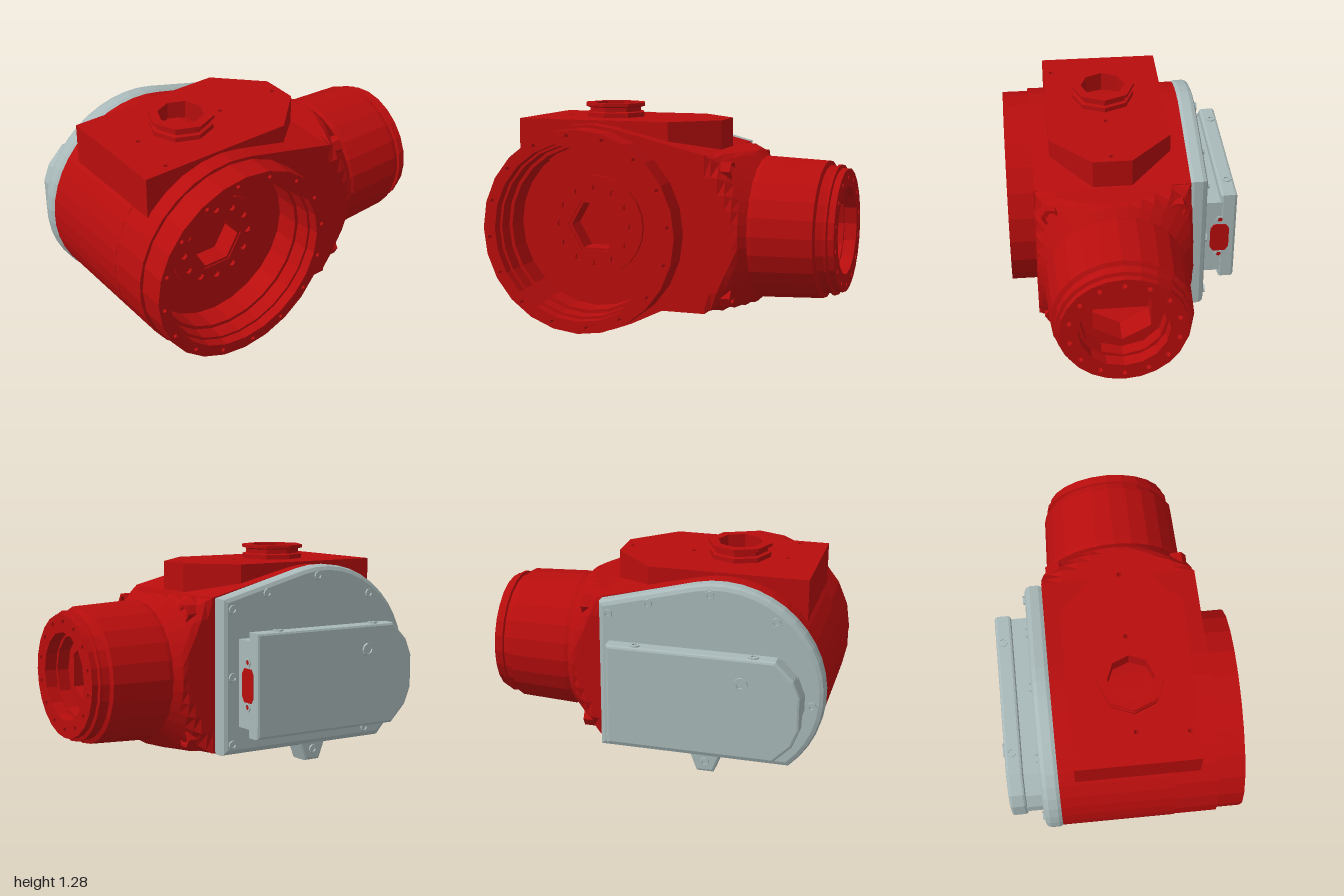
import * as THREE from 'three';

const CX = -0.4, CY = 0.6, CZ = 0.07; // drum axis (x, y) and neck axis (y, z)
const mat = (color) => new THREE.MeshStandardMaterial({ color, flatShading: true, side: THREE.DoubleSide });

// Points of a regular polygon or arc
function arc(x, y, r, n, a0 = 0, a1 = Math.PI * 2) {
  const closed = a1 - a0 > 6.28, pts = [];
  for (let i = 0; i < (closed ? n : n + 1); i++) {
    const a = a0 + (a1 - a0) * i / n;
    pts.push(new THREE.Vector2(x + r * Math.cos(a), y + r * Math.sin(a)));
  }
  return pts;
}
const pts = (...list) => list.map(([x, y]) => new THREE.Vector2(x, y));

// Extrusion along z from z0 to z1, with holes and an optional bevel inside the outline
function slab(outline, z0, z1, holes = [], bevel = 0) {
  const shape = new THREE.Shape(outline);
  holes.forEach((h) => shape.holes.push(new THREE.Path(h)));
  const g = new THREE.ExtrudeGeometry(shape, {
    depth: z1 - z0 - 2 * bevel, bevelEnabled: bevel > 0, bevelSize: bevel,
    bevelThickness: bevel, bevelOffset: -bevel, bevelSegments: 2, steps: 1,
  });
  return g.translate(0, 0, z0 + bevel);
}
const toX = (g) => g.rotateY(Math.PI / 2).translate(0, CY, CZ); // extrusion along the neck axis
const toY = (g) => g.rotateX(-Math.PI / 2);                     // extrusion upwards

// Points spaced round a circle, as small holes
function holeRing(x, y, r, n, size, offset = 0) {
  return arc(x, y, r, n, offset, offset + Math.PI * 2).map((p) => arc(p.x, p.y, size, 8));
}

// Housing outline: round on the left, square on the right
function outline(r, right, fullRound) {
  const d = Math.PI / 180, end = fullRound ? 296.7 : 180 + Math.asin(0.44 / r) / d;
  const foot = fullRound ? [[0.05, 0.16], [right, 0.16]] : [[right, 0.16]];
  return [...arc(CX, CY, r, 18, 75.8 * d, end * d), ...pts(...foot, [right, 1.04])];
}

// Shoulder: square section cut by a cone around the neck axis
function shoulder() {
  const xs = [0.29, 0.33, 0.37, 0.41, 0.45, 0.485, 0.53], n = 40, pos = [], idx = [];
  xs.forEach((x, j) => {
    for (let i = 0; i < n; i++) {
      const a = i / n * Math.PI * 2, c = Math.cos(a), s = Math.sin(a);
      const r = Math.min(0.44 / Math.max(Math.abs(c), Math.abs(s)), 0.925 - x);
      pos.push(x, CY + r * s, CZ + r * c);
      if (j === xs.length - 1) continue;
      const k = (i + 1) % n, a0 = j * n + i, b0 = a0 + n, c0 = (j + 1) * n + k, d0 = j * n + k;
      idx.push(a0, b0, c0, a0, c0, d0);
    }
  });
  const g = new THREE.BufferGeometry();
  g.setAttribute('position', new THREE.Float32BufferAttribute(pos, 3));
  g.setIndex(idx);
  g.computeVertexNormals();
  return g;
}

export function createModel() {
  const model = new THREE.Group();
  const red = mat(0xb80d0d), grey = mat(0xa9b9b9);
  const add = (name, geometry, material = red) => {
    const m = new THREE.Mesh(geometry, material);
    m.name = name;
    model.add(m);
    return m;
  };

  // Housing, flat underneath at the back and round at the front
  const hex = arc(CX, CY, 0.17, 6);
  add('housing', slab(outline(0.592, 0.3, false), -0.37, 0.27));
  add('drumFloor', slab(outline(0.592, 0.3, true), 0.27, 0.37, [hex]));
  add('drumWall', slab(outline(0.592, 0.3, true), 0.37, 0.51, [arc(CX, CY, 0.47, 24)]));
  add('shoulder', shoulder());

  // Front ring with its bolt holes, stepped inside
  add('ringBase', slab(arc(CX, CY, 0.575, 24), 0.51, 0.6, [arc(CX, CY, 0.49, 24)]));
  add('frontRing', slab(arc(CX, CY, 0.575, 24), 0.6, 0.66,
    [arc(CX, CY, 0.505, 24), ...holeRing(CX, CY, 0.54, 16, 0.012, 0.1)]));

  // Hub at the bottom of the recess
  add('hub', slab(arc(CX, CY, 0.29, 24), 0.37, 0.39,
    [hex, ...holeRing(CX, CY, 0.22, 12, 0.02, Math.PI / 6)]));
  add('hubRim', slab(arc(CX, CY, 0.169, 6), 0.27, 0.385, [arc(CX, CY, 0.15, 6)]));

  // Top pad with chamfered corners
  const pad = pts([-0.86, -0.41], [0.05, -0.41], [0.29, -0.18], [0.29, 0.04], [0.05, 0.28], [-0.86, 0.28]);
  const padHoles = [[-0.68, -0.07], [-0.13, -0.07], [0.24, -0.07], [-0.7, -0.36]]
    .map(([x, y]) => arc(x, y, 0.014, 8));
  add('topPad', toY(slab(pad, 0.97, 1.208, [arc(CX, -CZ, 0.13, 8), ...padHoles])));

  // Eight-sided socket on the pad
  const socket = pts([0.13, 1.195], [0.13, 1.29], [0.185, 1.29], [0.185, 1.272], [0.16, 1.265],
    [0.16, 1.24], [0.18, 1.235], [0.18, 1.2]).reverse();
  add('topSocket', new THREE.LatheGeometry(socket, 8).translate(CX, 0, CZ));

  // Neck with end lip
  const neck = pts([0.4, 0.52], [0.405, 0.55], [0.39, 0.89], [0.365, 0.9], [0.355, 0.94],
    [0.37, 0.945], [0.37, 0.96], [0.35, 0.965], [0.35, 0.99]);
  add('neck', new THREE.LatheGeometry(neck, 24).rotateZ(-Math.PI / 2).translate(0, CY, CZ));
  add('neckEnd', toX(slab(arc(0, 0, 0.35, 24), 0.93, 1.0,
    [arc(0, 0, 0.25, 16), ...holeRing(0, 0, 0.305, 14, 0.016, Math.PI / 2)])));
  add('neckBore', toX(slab(arc(0, 0, 0.34, 24), 0.86, 0.93, [arc(0, 0, 0.235, 12)])));
  add('neckHex', toX(slab(arc(0, 0, 0.34, 24), 0.72, 0.86,
    [arc(0, 0, 0.185, 6, Math.PI / 2, Math.PI * 2.5)])));

  // Hex bosses in the four shoulder corners
  for (const u of [-1, 1]) for (const v of [-1, 1]) {
    const c = [u * 0.355, v * 0.353];
    add('shoulderBoss', toX(slab(arc(...c, 0.055, 6), 0.36, 0.435, [arc(...c, 0.035, 8)])));
    add('shoulderBolt', toX(slab(arc(...c, 0.03, 6), 0.36, 0.415, [arc(...c, 0.014, 6)])));
  }

  // Rear cover with lug
  const cover = [...outline(0.6, 0.29, false)];
  add('rearCover', slab(cover, -0.47, -0.36, [], 0.03), grey);
  add('coverLug', slab(pts([-0.43, 0.2], [-0.38, 0.065], [-0.28, 0.065], [-0.23, 0.2]), -0.46, -0.33, [], 0.015), grey);

  // Socket screws facing backwards
  const screw = (x, y, z, r) => add('coverScrew',
    slab(arc(x, y, r, 10), z - 0.012, z + 0.01, [arc(x, y, r * 0.6, 6)]), grey);
  [[0.23, 0.98], [0, 1.06], [-0.35, 1.14], [-0.72, 1.02], [-0.93, 0.55], [-0.7, 0.22], [0.23, 0.6],
    [0.23, 0.22], [-0.33, 0.13]].forEach(([x, y]) => screw(x, y, x === -0.33 ? -0.46 : -0.47, 0.026));

  // Connection box: narrower base and a wider lid, both cut at one end
  const boxShape = (y0, y1, x0, x1) => pts([x1, y0], [x1, y1], [x0 + 0.14, y1], [x0 + 0.04, y1 - 0.1],
    [x0, y1 - 0.2], [x0, y0 + 0.2], [x0 + 0.04, y0 + 0.1], [x0 + 0.14, y0]);
  add('boxBase', slab(boxShape(0.32, 0.815, -0.89, 0.188), -0.58, -0.46), grey);
  add('boxLid', slab(boxShape(0.275, 0.865, -0.895, 0.19), -0.66, -0.565, [], 0.015), grey);
  screw(-0.57, 0.72, -0.66, 0.04);
  for (const x of [-0.63, 0.03]) {
    add('lidScrew', toY(slab(arc(x, 0.62, 0.028, 10), 0.86, 0.872, [arc(x, 0.62, 0.016, 6)])), grey);
  }

  // Connector opening in the end of the box, with its two screws
  const slot = pts([0.53, -0.13], [0.6, -0.13], [0.62, -0.1], [0.62, 0.03], [0.6, 0.06], [0.53, 0.06],
    [0.51, 0.03], [0.51, -0.1]).map((p) => p.add(new THREE.Vector2(CZ, 0)));
  add('connector', toX(slab(slot, 0.17, 0.193)));
  for (const v of [0.095, -0.155]) {
    add('connectorScrew', toX(slab(arc(0.565 + CZ, v, 0.028, 6), 0.18, 0.196, [arc(0.565 + CZ, v, 0.016, 6)])), grey);
    add('connectorScrewSocket', toX(slab(arc(0.565 + CZ, v, 0.016, 6), 0.18, 0.192)));
  }

  // Small holes' rims under the housing
  for (const x of [-0.55, -0.1, 0.2]) for (const z of [-0.2, 0.15]) {
    add('bottomPlug', toY(slab(arc(x, -z, 0.02, 8), 0.154, 0.17, [arc(x, -z, 0.011, 8)])));
  }
  return model;
}
